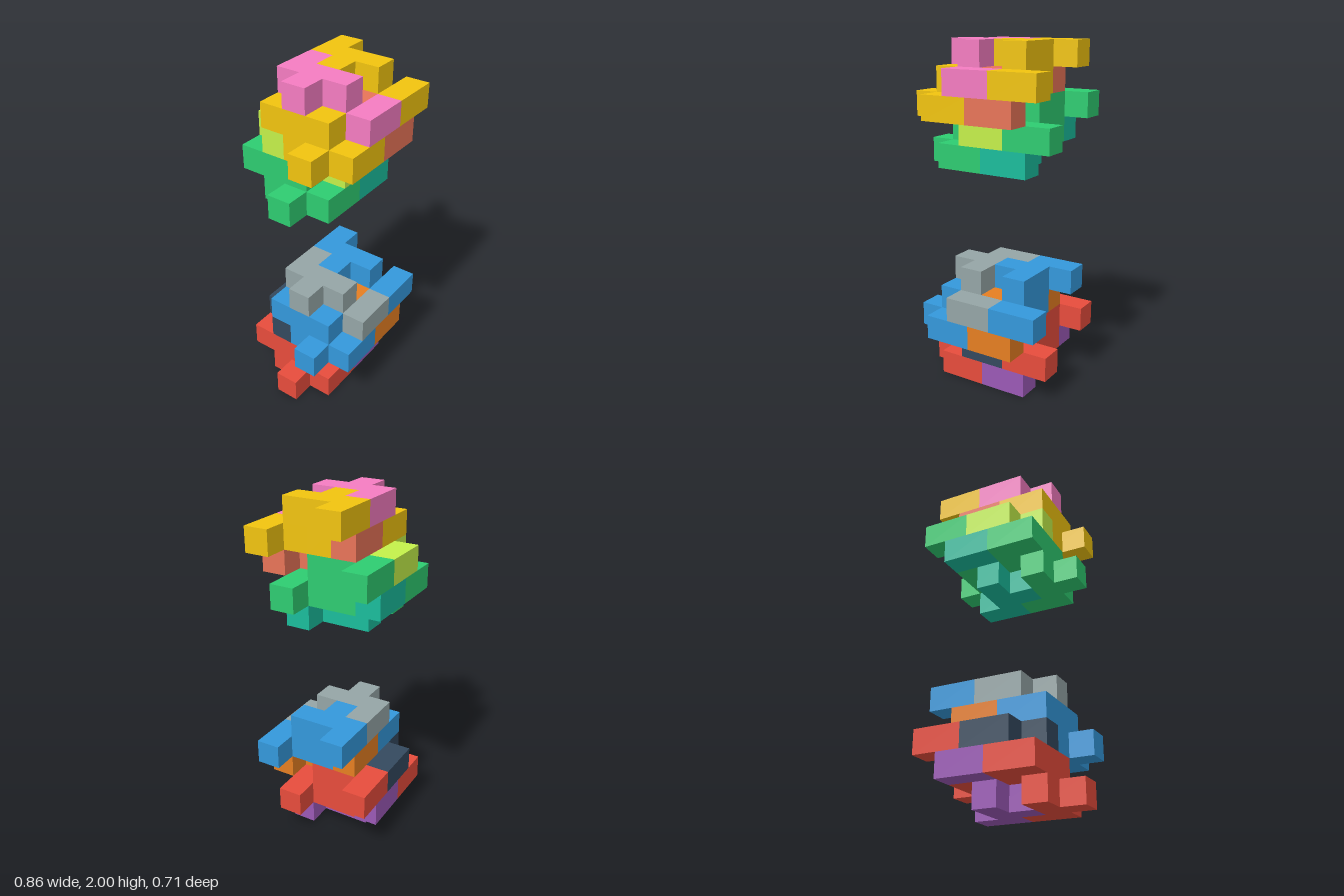
import * as THREE from 'three';
import { mergeGeometries } from 'three/addons/utils/BufferGeometryUtils.js';

const U = 1 / 7; // edge of one cube

// One interlocking piece: layers bottom to top, each row runs along x.
// [row counted from the back, cells]; A, B, C are its three colours.
const LAYERS = [
  [[2, '.B.C..'], [3, 'BBCC..'], [4, '.BBCC.']],
  [[1, '.BBCC.'], [2, '.BBCB.'], [3, '.BBCB.'], [4, '..AABB']],
  [[1, '..AABB'], [2, '.AABB.'], [3, '..A.B.']],
];

// A box for each run of equal cells, merged into one mesh per colour
function makePiece(name, colors) {
  const piece = new THREE.Group();
  piece.name = name;
  const boxes = { A: [], B: [], C: [] };
  LAYERS.forEach((rows, layer) => {
    for (const [row, cells] of rows) {
      for (const run of cells.matchAll(/A+|B+|C+/g)) {
        const n = run[0].length;
        const box = new THREE.BoxGeometry(n * U, U, U);
        box.translate((run.index + n / 2 - 3) * U, (layer + 0.5) * U, (row - 2) * U);
        boxes[run[0][0]].push(box);
      }
    }
  });
  const parts = { A: 'crownBlocks', B: 'mainBlocks', C: 'baseBlocks' };
  Object.keys(parts).forEach((key, i) => {
    const material = new THREE.MeshStandardMaterial({ color: colors[i], flatShading: true });
    const mesh = new THREE.Mesh(mergeGeometries(boxes[key]), material);
    mesh.name = parts[key];
    piece.add(mesh);
  });
  return piece;
}

export function createModel() {
  const model = new THREE.Group();
  model.name = 'interlockingCubePuzzles';

  // Each cluster is two equal pieces, the lower one two cubes down and one back
  const clusters = [
    ['lowerCluster', 0, [0x95a5a6, 0x3498db, 0xe67e22], [0x34495e, 0xe74c3c, 0x9b59b6]],
    ['upperCluster', 9, [0xf57cc1, 0xf1c40f, 0xe87458], [0xc4f04a, 0x2ecc71, 0x1abc9c]],
  ];
  for (const [name, height, topColors, bottomColors] of clusters) {
    const cluster = new THREE.Group();
    cluster.name = name;
    cluster.position.y = height * U;
    const top = makePiece('topPiece', topColors);
    top.position.y = 2 * U;
    const bottom = makePiece('bottomPiece', bottomColors);
    bottom.position.z = -U;
    cluster.add(top, bottom);
    model.add(cluster);
  }
  return model;
}
